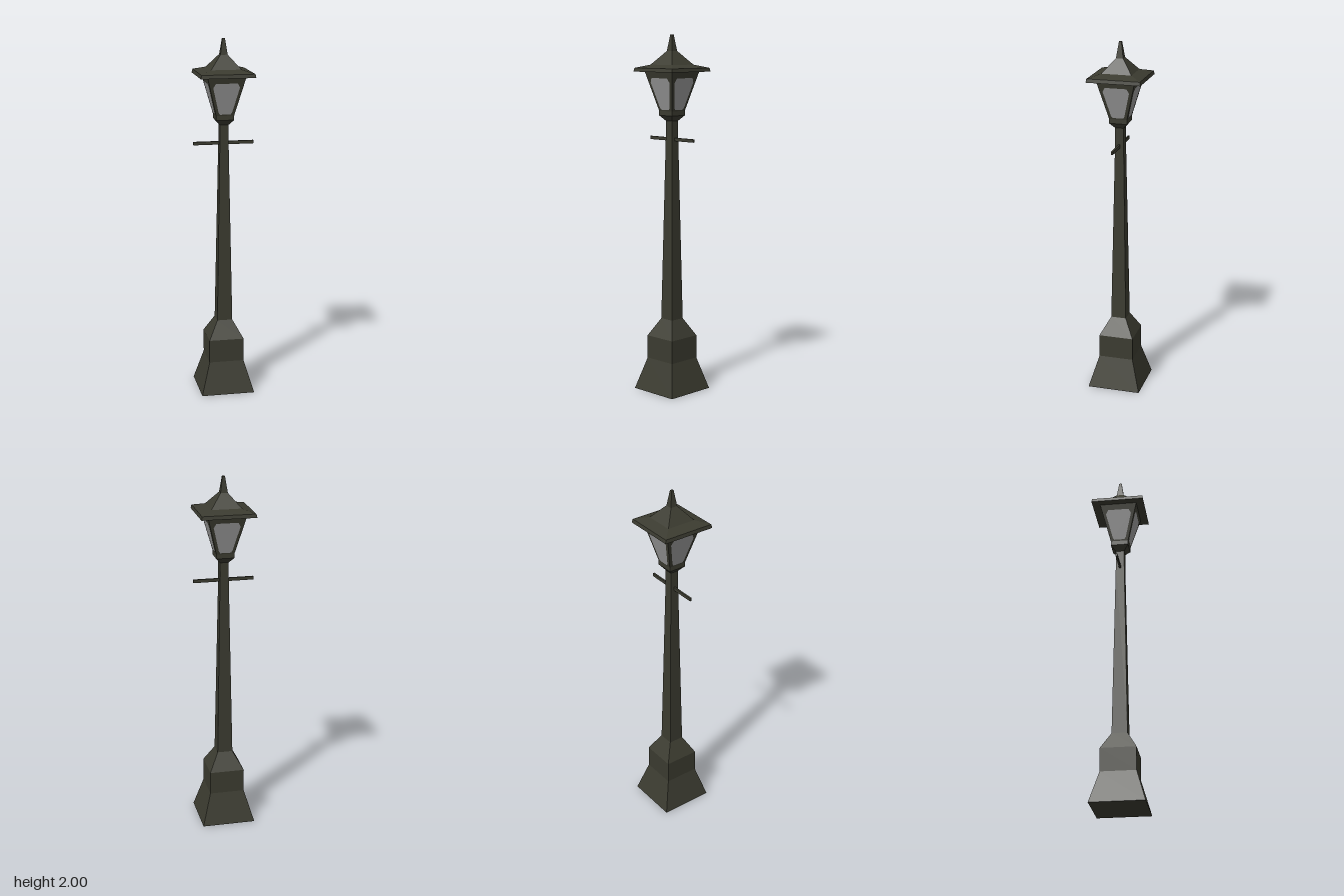
import * as THREE from 'three';

const iron = new THREE.MeshStandardMaterial({ color: 0x3b3b30 });
iron.name = 'dark iron';
const glass = new THREE.MeshStandardMaterial({ color: 0x999999 });
glass.name = 'frosted glass';

// Square-sectioned solid from [halfWidth, y] pairs, listed bottom to top
function squareSolid(name, profile) {
  const points = profile.map(([h, y]) => new THREE.Vector2(h * Math.SQRT2, y));
  points.unshift(new THREE.Vector2(0, points[0].y));
  points.push(new THREE.Vector2(0, points[points.length - 1].y));
  const geometry = new THREE.LatheGeometry(points, 4, Math.PI / 4).toNonIndexed();
  geometry.computeVertexNormals();
  const mesh = new THREE.Mesh(geometry, iron);
  mesh.name = name;
  return mesh;
}

// Half width of the flaring lantern body at height y
const bodyBottom = 1.585, bodyTop = 1.805;
const bodyHalf = (y) => 0.05 + (y - bodyBottom) * (0.057 / (bodyTop - bodyBottom));

// Pane with clipped corners, leaning with the lantern wall
function paneGeometry() {
  const half = [[0.03, 1.592], [0.038, 1.605], [0.073, 1.742], [0.06, 1.766]];
  const outline = [...half, ...half.map(([x, y]) => [-x, y]).reverse()];
  const geometry = new THREE.ShapeGeometry(
    new THREE.Shape(outline.map(([x, y]) => new THREE.Vector2(x, y))));
  const p = geometry.attributes.position;
  for (let i = 0; i < p.count; i++) p.setZ(i, bodyHalf(p.getY(i)) + 0.002);
  geometry.computeVertexNormals();
  return geometry;
}

export function createModel() {
  const model = new THREE.Group();
  model.name = 'streetLamp';

  // Pedestal and tapering post
  model.add(squareSolid('pedestal', [[0.15, 0], [0.098, 0.18], [0.098, 0.31], [0.043, 0.41]]));
  model.add(squareSolid('post', [[0.043, 0.41], [0.024, 1.45], [0.024, 1.54]]));

  // Ladder bar
  const bar = new THREE.Mesh(new THREE.BoxGeometry(0.336, 0.018, 0.01), iron);
  bar.position.y = 1.428;
  bar.name = 'ladderBar';
  model.add(bar);

  // Lantern body with a pane on each side
  const lantern = new THREE.Group();
  lantern.name = 'lantern';
  lantern.add(squareSolid('lanternFrame',
    [[0.024, 1.53], [0.05, 1.56], [0.05, bodyBottom], [bodyHalf(bodyTop), bodyTop]]));
  const pane = paneGeometry();
  for (let i = 0; i < 4; i++) {
    const mesh = new THREE.Mesh(pane, glass);
    mesh.rotation.y = i * Math.PI / 2;
    mesh.name = 'pane' + (i + 1);
    lantern.add(mesh);
  }
  model.add(lantern);

  // Roof with eaves, and spike on top
  model.add(squareSolid('roof',
    [[0.15, 1.8], [0.146, 1.82], [0.083, 1.838], [0.02, 1.912]]));
  model.add(squareSolid('finial', [[0.02, 1.912], [0.009, 1.985], [0.007, 2]]));
  return model;
}
